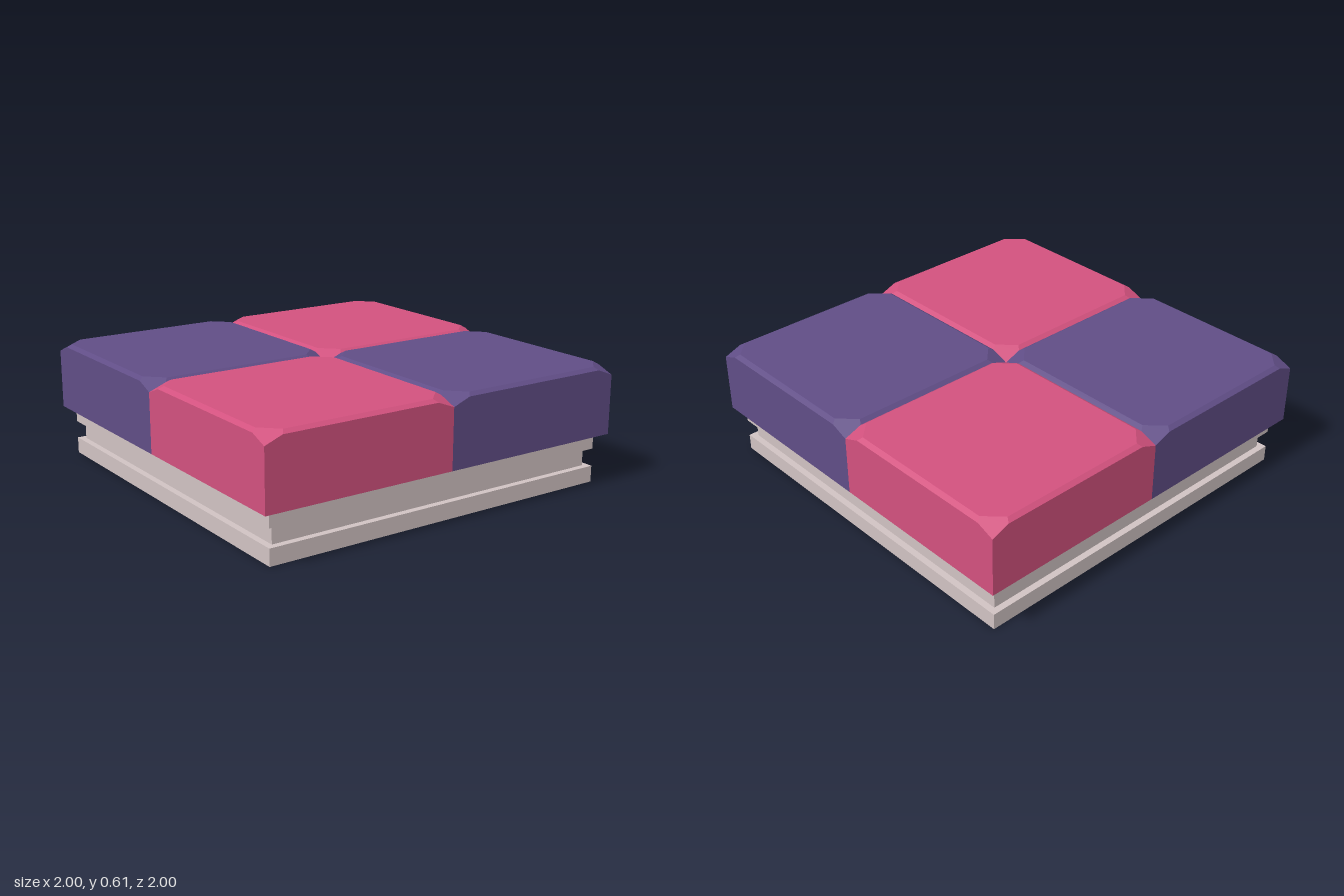
import * as THREE from 'three';
import { ConvexGeometry } from 'three/addons/geometries/ConvexGeometry.js';

// Square tile with bevelled top edges and sloping cut corners
function tileGeometry() {
  const bottom = 0.253, corner = 0.555, edge = 0.59, top = 0.605;
  const cut = 0.09, inset = 0.023;
  const reach = cut * (top - corner) / (edge - corner) - inset; // keeps the corner facet flat
  const points = [];
  for (const sx of [-1, 1]) {
    for (const sz of [-1, 1]) {
      const add = (dx, y, dz) => points.push(new THREE.Vector3(sx * (0.5 - dx), y, sz * (0.5 - dz)));
      add(0, bottom, 0);
      add(0, corner, 0);
      add(cut, edge, 0);
      add(0, edge, cut);
      add(reach, top, inset);
      add(inset, top, reach);
    }
  }
  return new ConvexGeometry(points);
}

export function createModel() {
  const model = new THREE.Group();
  model.name = 'checkeredFloorBlock';

  const pink = new THREE.MeshStandardMaterial({ color: 0xd2517e });
  pink.name = 'pink';
  const purple = new THREE.MeshStandardMaterial({ color: 0x604d86 });
  purple.name = 'purple';
  const stone = new THREE.MeshStandardMaterial({ color: 0xd0c2c2 });
  stone.name = 'paleStone';

  // Stepped plinth: foot, recessed neck, upper slab
  const layers = [
    ['plinthFoot', 1.9, 0, 0.083],
    ['plinthNeck', 1.834, 0.083, 0.173],
    ['plinthSlab', 1.9, 0.173, 0.253],
  ];
  for (const [name, width, y0, y1] of layers) {
    const layer = new THREE.Mesh(new THREE.BoxGeometry(width, y1 - y0, width), stone);
    layer.name = name;
    layer.position.y = (y0 + y1) / 2;
    model.add(layer);
  }

  // Four tiles in a checker pattern
  const geometry = tileGeometry();
  for (const x of [-0.5, 0.5]) {
    for (const z of [-0.5, 0.5]) {
      const tile = new THREE.Mesh(geometry, x * z > 0 ? purple : pink);
      tile.name = `${z > 0 ? 'front' : 'back'}${x > 0 ? 'Left' : 'Right'}Tile`;
      tile.position.set(x, 0, z);
      model.add(tile);
    }
  }
  return model;
}
